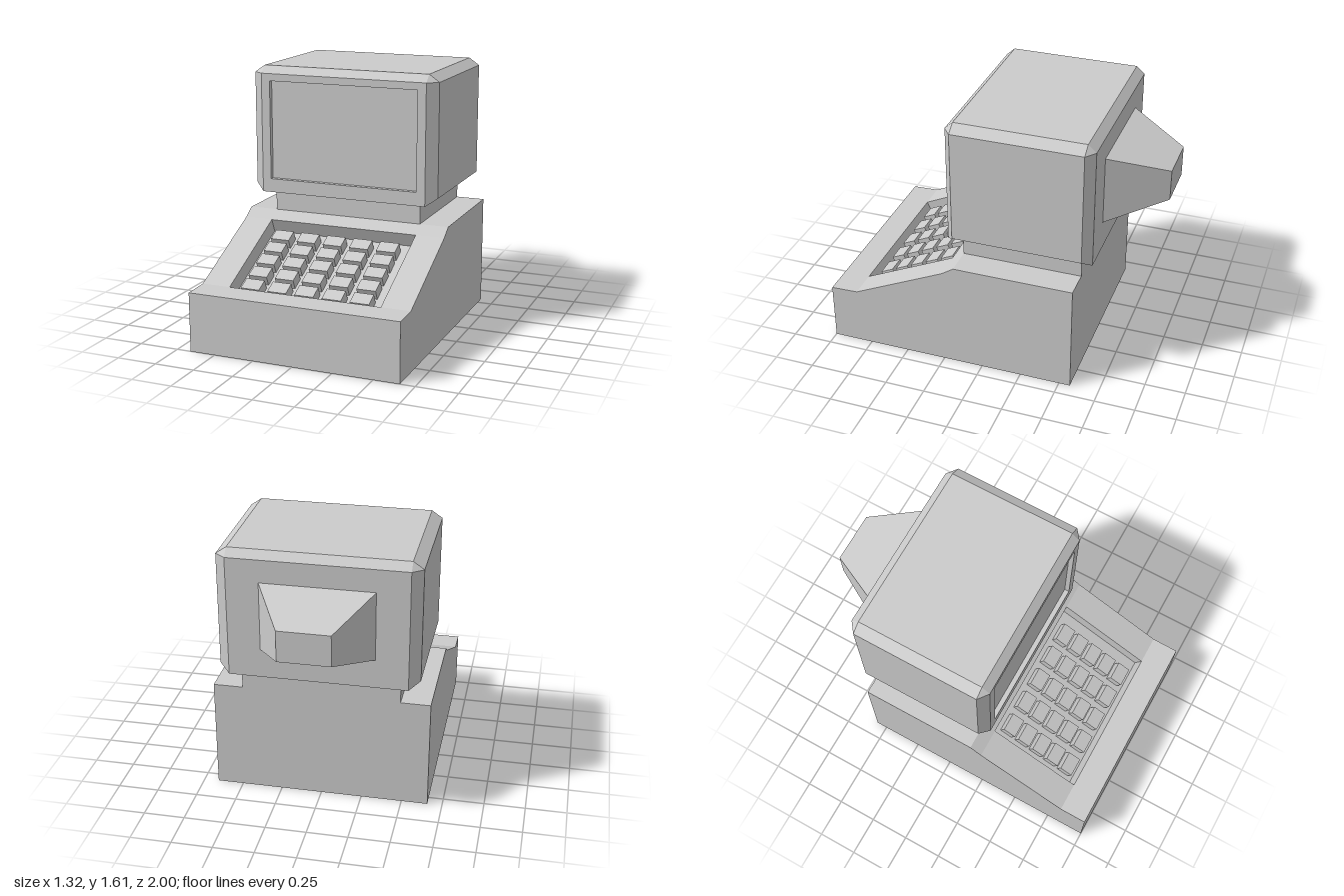
import * as THREE from 'three';

const grey = () => new THREE.MeshStandardMaterial({ color: 0xcccccc, flatShading: true });

// Skin a list of [z, outline] sections (counter-clockwise outlines, equal length) and cap both ends.
function loft(sections) {
  const rings = sections.map(([z, pts]) => pts.map(([x, y]) => new THREE.Vector3(x, y, z)));
  const pos = [];
  const tri = (a, b, c) => {
    const area = b.clone().sub(a).cross(c.clone().sub(a)).length();
    if (area > 1e-7) for (const p of [a, b, c]) pos.push(p.x, p.y, p.z);
  };
  for (let r = 0; r < rings.length - 1; r++) {
    const a = rings[r], b = rings[r + 1], n = a.length;
    for (let i = 0; i < n; i++) {
      const j = (i + 1) % n;
      tri(a[i], a[j], b[j]);
      tri(a[i], b[j], b[i]);
    }
  }
  const cap = (ring, flip) => {
    const contour = ring.map((p) => new THREE.Vector2(p.x, p.y));
    for (const [i, j, k] of THREE.ShapeUtils.triangulateShape(contour, [])) {
      if (flip) tri(ring[i], ring[k], ring[j]);
      else tri(ring[i], ring[j], ring[k]);
    }
  };
  cap(rings[0], true);
  cap(rings[rings.length - 1], false);
  const geo = new THREE.BufferGeometry();
  geo.setAttribute('position', new THREE.Float32BufferAttribute(pos, 3));
  geo.computeVertexNormals();
  return geo;
}

// Mirror a right-hand outline (bottom to top) to the left.
const mirrored = (half) => [...half, ...half.map(([x, y]) => [-x, y]).reverse()];
// Rectangle with doubled corners, to match the eight-cornered casing outline.
const rect8 = (x, y0, y1) => mirrored([[x, y0], [x, y0], [x, y1], [x, y1]]);

export function createModel() {
  const model = new THREE.Group();
  const add = (name, geo, parent = model) => {
    const mesh = new THREE.Mesh(geo, grey());
    mesh.name = name;
    parent.add(mesh);
    return mesh;
  };

  // Wedge base: side profile swept across, with a sunken key tray in the slope
  const front = [0.83, 0.37], back = [0.25, 0.64];
  const tilt = Math.atan2(back[1] - front[1], front[0] - back[0]);
  const trayDepth = 0.093;
  const sink = ([z, y]) => [z - trayDepth * Math.sin(tilt), y - trayDepth * Math.cos(tilt)];
  const profile = (p, q) => [
    [1, 0], [-0.57, 0], [-0.57, 0.69], [0.175, 0.69], back, q, p, front, [1, 0.365],
  ].map(([z, y]) => [-z, y]);
  const full = profile(front, back);
  const notched = profile(sink(front), sink(back));
  const baseGeo = loft([
    [-0.66, full], [-0.48, full], [-0.48, notched],
    [0.48, notched], [0.48, full], [0.66, full],
  ]);
  baseGeo.rotateY(Math.PI / 2);
  add('base', baseGeo);

  // Keys: five by five, laid out along the slope
  const keys = new THREE.Group();
  keys.name = 'keys';
  keys.position.set(-0.02, back[1], back[0]);
  keys.rotation.x = tilt;
  model.add(keys);
  const keyGeo = new THREE.BoxGeometry(0.12, 0.064, 0.087);
  for (let row = 0; row < 5; row++) {
    for (let col = 0; col < 5; col++) {
      add('key', keyGeo, keys).position.set((col - 2) * 0.175, -0.062, 0.1 + row * 0.115);
    }
  }

  // Neck between base and monitor
  add('neck', new THREE.BoxGeometry(0.96, 0.13, 0.745)).position.set(0, 0.755, -0.1975);

  // Monitor casing: bevelled box with a recessed screen
  const casing = mirrored([[0.535, 0.82], [0.6, 0.865], [0.6, 1.565], [0.535, 1.61]]);
  const face = rect8(0.535, 0.82, 1.565);
  const screen = rect8(0.48, 0.905, 1.52);
  add('monitor', loft([
    [-0.65, face], [-0.6, casing], [0.2, casing],
    [0.25, face], [0.25, screen], [0.22, screen],
  ]));

  // Tapered tube housing at the back
  add('tubeHousing', loft([
    [-1, rect8(0.155, 1.12, 1.31)], [-0.65, rect8(0.34, 1.0, 1.425)],
  ]));

  return model;
}
